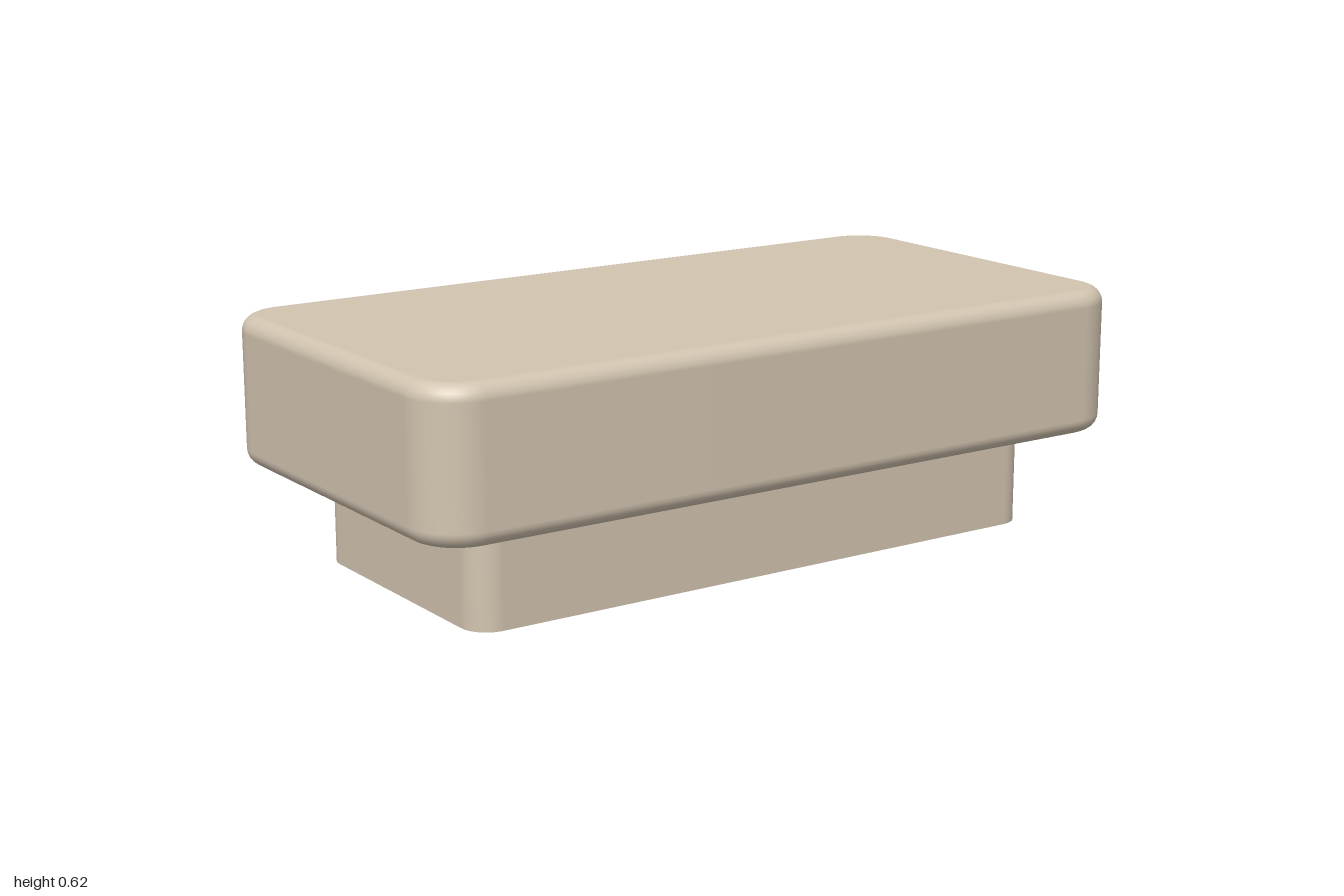
import * as THREE from 'three';

// Rounded rectangle centred on the origin
function roundedRect(hx, hz, r) {
  const s = new THREE.Shape();
  s.absarc(hx - r, hz - r, r, 0, Math.PI / 2);
  s.absarc(-hx + r, hz - r, r, Math.PI / 2, Math.PI);
  s.absarc(-hx + r, -hz + r, r, Math.PI, Math.PI * 1.5);
  s.absarc(hx - r, -hz + r, r, Math.PI * 1.5, Math.PI * 2);
  s.closePath();
  return s;
}

// Upright slab with corner radius r and rounded rim b, with exact smooth normals
function slab(hx, hz, r, b, y0, y1) {
  const hy = (y1 - y0) / 2;
  const geo = new THREE.ExtrudeGeometry(roundedRect(hx - b, hz - b, r - b), {
    depth: 2 * (hy - b), curveSegments: 12,
    bevelEnabled: b > 0, bevelSize: b, bevelThickness: b, bevelSegments: 6,
  });
  geo.translate(0, 0, b - hy);
  geo.rotateX(-Math.PI / 2);
  const p = geo.attributes.position, n = geo.attributes.normal;
  const v = new THREE.Vector3();
  for (let i = 0; i < p.count; i++) {
    if (Math.abs(n.getY(i)) > 0.999) continue; // flat caps stay flat
    const qx = Math.max(Math.abs(p.getX(i)) - (hx - r), 0);
    const qz = Math.max(Math.abs(p.getZ(i)) - (hz - r), 0);
    const len = Math.hypot(qx, qz);
    const side = Math.max(len - (r - b), 0) + 1e-4;
    const up = Math.max(Math.abs(p.getY(i)) - (hy - b), 0);
    v.set(Math.sign(p.getX(i)) * qx / len * side, Math.sign(p.getY(i)) * up,
      Math.sign(p.getZ(i)) * qz / len * side).normalize();
    n.setXYZ(i, v.x, v.y, v.z);
  }
  geo.translate(0, (y0 + y1) / 2, 0);
  return geo;
}

export function createModel() {
  const group = new THREE.Group();
  group.name = 'steppedBlock';
  const beige = new THREE.MeshStandardMaterial({ color: 0xd2c4b0 });
  beige.name = 'warm beige';

  const add = (name, geo) => {
    const mesh = new THREE.Mesh(geo, beige);
    mesh.name = name;
    group.add(mesh);
  };

  // Wide top with softened edges
  add('topSlab', slab(1, 0.517, 0.13, 0.04, 0.25, 0.62));
  // Narrower plinth, tucked slightly into the top
  add('base', slab(0.82, 0.368, 0.07, 0, 0, 0.27));

  return group;
}
